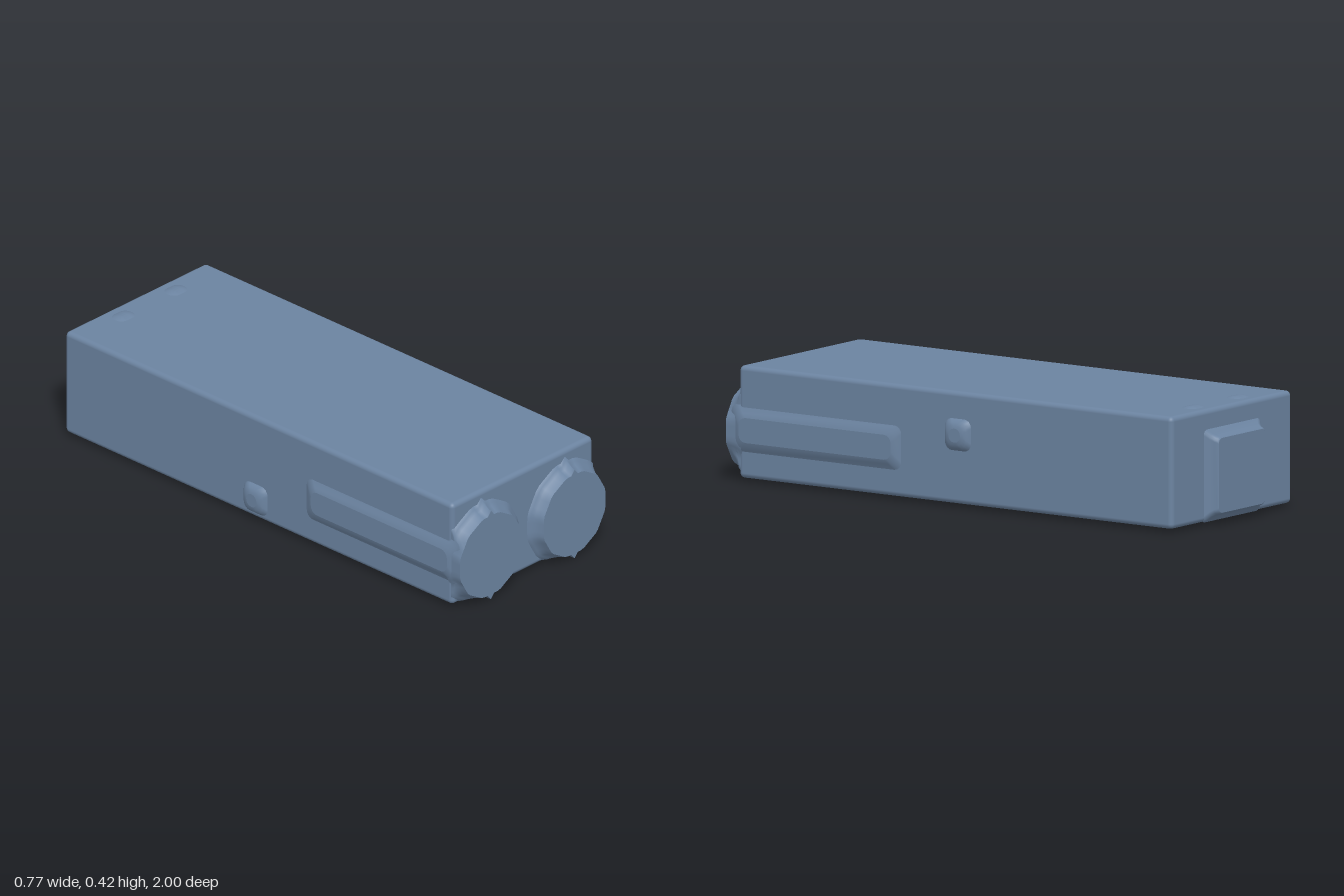
import * as THREE from 'three';
import { RoundedBoxGeometry } from 'three/addons/geometries/RoundedBoxGeometry.js';

// Skin a stack of counter-clockwise loops along +z and close the last one with a flat cap.
function skinLoops(loops) {
  const n = loops[0].length, last = loops[loops.length - 1];
  const pos = [], idx = [];
  loops.forEach((loop) => loop.forEach((p) => pos.push(p.x, p.y, p.z)));
  for (let i = 0; i < loops.length - 1; i++) {
    for (let j = 0; j < n; j++) {
      const a = i * n + j, b = i * n + (j + 1) % n;
      idx.push(a, b, b + n, a, b + n, a + n);
    }
  }
  const start = pos.length / 3, mid = new THREE.Vector3();
  last.forEach((p) => { pos.push(p.x, p.y, p.z); mid.addScaledVector(p, 1 / n); });
  pos.push(mid.x, mid.y, mid.z);
  for (let j = 0; j < n; j++) idx.push(start + j, start + (j + 1) % n, start + n);
  const g = new THREE.BufferGeometry();
  g.setAttribute('position', new THREE.Float32BufferAttribute(pos, 3));
  g.setIndex(idx);
  g.computeVertexNormals();
  return g;
}

// Raised pad with rounded corners; levels are [inset, height] pairs.
function padGeometry(w, h, corner, levels) {
  return skinLoops(levels.map(([inset, z]) => {
    const hw = w / 2 - inset, hh = h / 2 - inset;
    const r = Math.max(0.004, Math.min(corner, hw - 0.002, hh - 0.002));
    const loop = [];
    for (let q = 0; q < 4; q++) {
      const sx = q === 0 || q === 3 ? 1 : -1, sy = q < 2 ? 1 : -1;
      for (let k = 0; k <= 4; k++) {
        const a = (q + k / 4) * Math.PI / 2;
        loop.push(new THREE.Vector3(
          sx * (hw - r) + r * Math.cos(a), sy * (hh - r) + r * Math.sin(a), z));
      }
    }
    return loop;
  }));
}

// Twelve-sided barrel with a small ridge at top and bottom, flaring into the body.
function barrelGeometry(side) {
  const cx = side * 0.215, cy = 0.178, n = 60, step = Math.PI / 6;
  const profile = [[0.935, 0.045], [0.952, 0.034], [0.958, 0.024],
    [0.968, 0.014], [0.983, 0.006], [1, 0]];
  return skinLoops(profile.map(([z, flare]) => {
    const loop = [];
    for (let j = 0; j < n; j++) {
      const a = j / n * Math.PI * 2;
      const off = a - Math.round(a / step) * step;
      const spike = 0.02 * Math.max(0, 1 - Math.abs(Math.abs(Math.sin(a)) - 1) / 0.004);
      const core = 0.158 / Math.cos(off) + spike;
      const coreX = cx + core * Math.cos(a), coreY = cy + core * Math.sin(a);
      let x = cx + (core + flare) * Math.cos(a);
      let y = cy + (core + flare) * Math.sin(a);
      // Keep the flare from spilling past the sides and the underside.
      const limit = Math.max(0.36, Math.abs(coreX));
      x = THREE.MathUtils.clamp(x, -limit, limit);
      y = Math.max(y, Math.min(0.014, coreY));
      loop.push(new THREE.Vector3(x, y, z));
    }
    return loop;
  }));
}

export function createModel() {
  const group = new THREE.Group();
  const shell = new THREE.MeshStandardMaterial({ color: 0x6b83a0 });
  shell.name = 'slateBlue';

  const add = (name, geometry, position = [0, 0, 0], rotation = [0, 0, 0]) => {
    const mesh = new THREE.Mesh(geometry, shell);
    mesh.name = name;
    mesh.position.set(...position);
    mesh.rotation.set(...rotation);
    group.add(mesh);
  };

  // Long softly rounded case
  add('body', new RoundedBoxGeometry(0.726, 0.405, 1.907, 4, 0.018), [0, 0.2145, -0.0025]);

  // Rear connector plate
  add('rearPlate', padGeometry(0.35, 0.34, 0.02,
    [[0, -0.006], [0.006, 0.003], [0.02, 0.016], [0.028, 0.03], [0.031, 0.041], [0.035, 0.045]]),
  [0, 0.18, -0.955], [0, Math.PI, 0]);

  const sideRidge = padGeometry(0.76, 0.18, 0.03,
    [[0, -0.004], [0.015, 0.002], [0.03, 0.011], [0.045, 0.016]]);
  const underRidge = padGeometry(0.15, 0.75, 0.03,
    [[0, -0.003], [0.03, 0.002], [0.055, 0.008], [0.07, 0.011]]);
  const button = padGeometry(0.12, 0.12, 0.03,
    [[0, -0.004], [0.006, 0.006], [0.014, 0.015], [0.024, 0.021], [0.035, 0.0235]]);
  const topBump = padGeometry(0.1, 0.08, 0.035,
    [[0, -0.003], [0.012, 0.002], [0.024, 0.005], [0.035, 0.006]]);

  for (const side of [1, -1]) {
    const label = side > 0 ? 'left' : 'right';
    const turn = [0, side * Math.PI / 2, 0];
    add(label + 'Barrel', barrelGeometry(side));
    add(label + 'SideRidge', sideRidge, [side * 0.363, 0.188, 0.605], turn);
    add(label + 'UnderRidge', underRidge, [side * 0.215, 0.012, 0.605], [Math.PI / 2, 0, 0]);
    // The two side buttons sit at different heights
    add(label + 'Button', button, [side * 0.363, side > 0 ? 0.262 : 0.09, -0.015], turn);
    add(label + 'TopBump', topBump, [side * 0.135, 0.417, -0.885], [-Math.PI / 2, 0, 0]);
  }
  return group;
}
